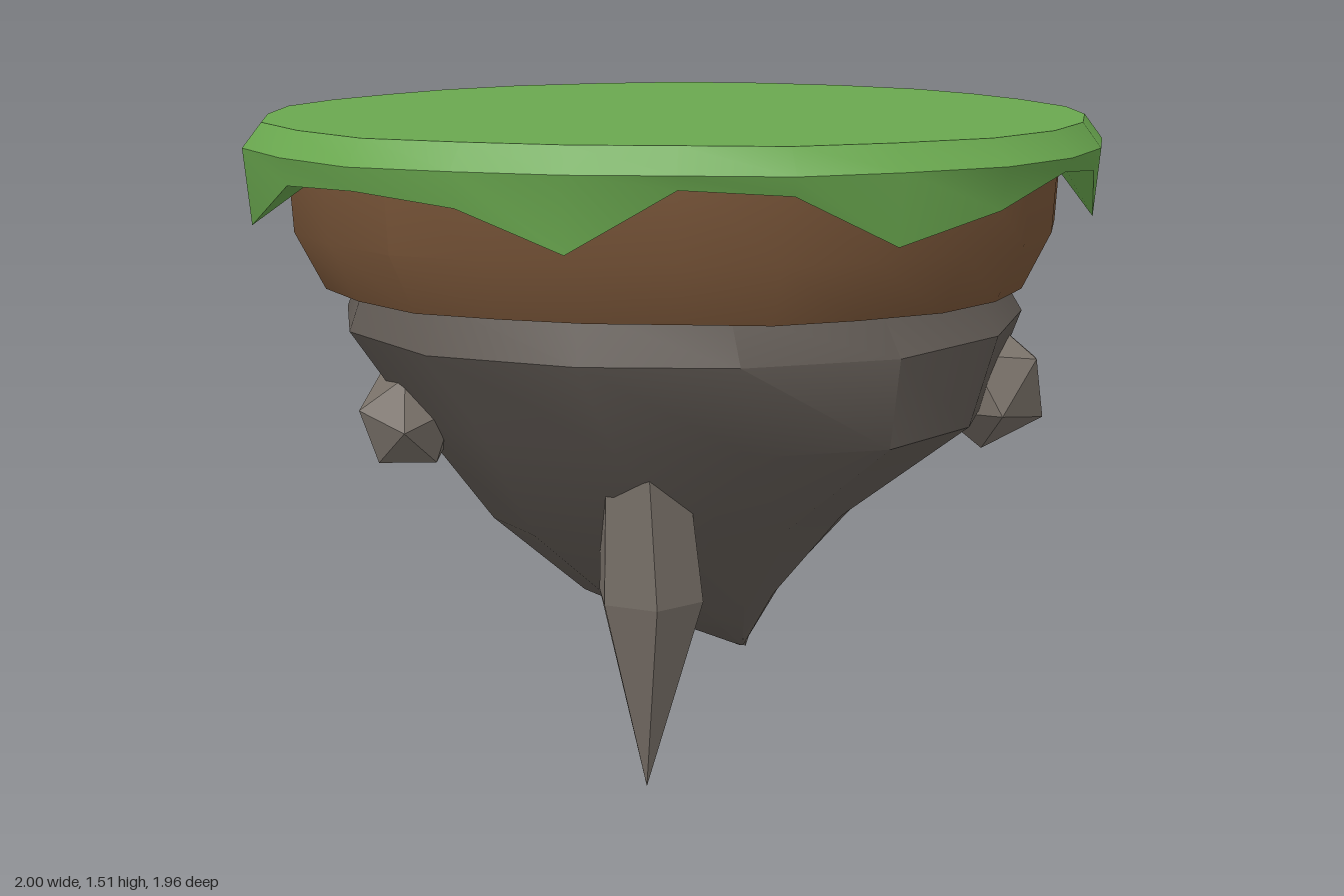
import * as THREE from 'three';
import { toCreasedNormals } from 'three/addons/utils/BufferGeometryUtils.js';

const V = (x, y, z) => new THREE.Vector3(x, y, z);
const mat = (name, color) => {
  const m = new THREE.MeshStandardMaterial({ color });
  m.name = name;
  return m;
};

// Skins a stack of rings (top to bottom, clockwise from above) and closes the ends if asked
function loft(rings, capTop, capBottom, crease = 0.6) {
  const pos = [];
  const tri = (...pts) => pts.forEach((p) => pos.push(p.x, p.y, p.z));
  const middle = (ring) => ring.reduce((s, p) => s.add(p), V(0, 0, 0)).divideScalar(ring.length);
  const n = rings[0].length, top = rings[0], last = rings[rings.length - 1];
  const topMid = middle(top), lastMid = middle(last);
  for (let i = 0; i < n; i++) {
    const j = (i + 1) % n;
    for (let k = 0; k < rings.length - 1; k++) {
      const a = rings[k], b = rings[k + 1];
      tri(a[i], a[j], b[i]);
      tri(a[j], b[j], b[i]);
    }
    if (capTop) tri(topMid, top[j], top[i]);
    if (capBottom) tri(lastMid, last[i], last[j]);
  }
  const g = new THREE.BufferGeometry();
  g.setAttribute('position', new THREE.Float32BufferAttribute(pos, 3));
  return toCreasedNormals(g, crease);
}

// Island outline: x, z and the height of the hanging grass edge
const outline = [
  [0.12, -0.98, 1.40], [0.36, -0.945, 1.39], [0.58, -0.845, 1.34], [0.78, -0.71, 1.35],
  [0.91, -0.5, 1.42], [0.98, -0.27, 1.40], [1.0, -0.02, 1.28], [0.95, 0.2, 1.40],
  [0.87, 0.4, 1.42], [0.74, 0.62, 1.42], [0.57, 0.78, 1.28], [0.36, 0.905, 1.41],
  [0.13, 0.975, 1.43], [-0.11, 0.975, 1.37], [-0.34, 0.885, 1.31], [-0.54, 0.775, 1.42],
  [-0.68, 0.59, 1.43], [-0.82, 0.41, 1.30], [-0.92, 0.2, 1.385], [-1.0, -0.02, 1.41],
  [-0.97, -0.27, 1.40], [-0.89, -0.5, 1.29], [-0.73, -0.68, 1.40], [-0.54, -0.84, 1.40],
  [-0.33, -0.92, 1.39], [-0.11, -0.96, 1.29],
];
const slab = (s, y) => outline.map(([x, z, drip]) => V(x * s, y ?? drip, z * s));

// Oval ring given by its extents
function oval(y, x0, x1, z0, z1, n = 14) {
  return Array.from({ length: n }, (_, i) => {
    const a = (i / n) * Math.PI * 2;
    const cut = Math.cos(a) < -0.3 && Math.sin(a) > 0.3 ? 0.95 : 1; // chipped front corner
    return V((x0 + x1) / 2 + Math.cos(a) * cut * (x1 - x0) / 2, y,
      (z0 + z1) / 2 + Math.sin(a) * cut * (z1 - z0) / 2);
  });
}

// Faceted spike: rings of [x, y, z, radius], ending in a point
function spike(levels, sides, turn) {
  const rings = levels.map(([x, y, z, r]) => Array.from({ length: sides }, (_, i) => {
    const a = turn + (i / sides) * Math.PI * 2;
    return V(x + Math.cos(a) * r, y, z + Math.sin(a) * r);
  }));
  return loft(rings, true, false, 0.1);
}

export function createModel() {
  const model = new THREE.Group();
  model.name = 'floatingIsland';
  const grass = mat('grass green', 0x6aa84f);
  const soil = mat('soil brown', 0x7a5639);
  const rock = mat('dark rock', 0x645d57);
  const stone = mat('light stone', 0x787068);
  const add = (name, geometry, material) => {
    const mesh = new THREE.Mesh(geometry, material);
    mesh.name = name;
    model.add(mesh);
    return mesh;
  };

  // Grass cap with bevelled rim and dripping skirt
  add('grassCap', loft([slab(0.957, 1.515), slab(1, 1.46), slab(0.985), slab(0.89, 1.43)], true, false), grass);

  // Soil layer
  add('soilLayer', loft([slab(0.905, 1.45), slab(0.895, 1.27), slab(0.83, 1.14)], true, true), soil);

  // Tapering rock body
  add('rockBody', loft([
    oval(1.15, -0.75, 0.79, -0.78, 0.71),
    oval(1.04, -0.78, 0.87, -0.84, 0.76),
    oval(0.83, -0.63, 0.72, -0.75, 0.71),
    oval(0.58, -0.47, 0.52, -0.46, 0.39),
    oval(0.37, -0.22, 0.26, -0.29, 0.23),
    oval(0.18, 0.165, 0.175, 0.04, 0.05),
  ], true, true), rock);

  // Hanging spikes
  add('longSpike', spike([[-0.38, 0.82, 0.22, 0.1], [-0.345, 0.46, 0.21, 0.128], [-0.35, 0, 0.2, 0]], 6, 0.2), stone);
  add('backSpike', spike([[-0.05, 0.78, -0.55, 0.07], [-0.05, 0.66, -0.57, 0.07], [-0.05, 0.48, -0.575, 0]], 5, 0.3), stone);
  add('bottomSpike', spike([[0.14, 0.4, -0.02, 0.16], [0.18, 0.175, 0.05, 0]], 5, 0.63), stone);

  // Boulders stuck in the rock
  for (const [name, x, y, z, r, turn] of [
    ['frontBoulder', 0.47, 0.87, 0.55, 0.155, 0.4],
    ['sideBoulder', -0.58, 0.83, -0.33, 0.125, 1.1],
  ]) {
    const g = new THREE.IcosahedronGeometry(r, 0);
    g.rotateZ(turn).rotateY(turn * 0.7);
    add(name, g, stone).position.set(x, y, z);
  }
  return model;
}
